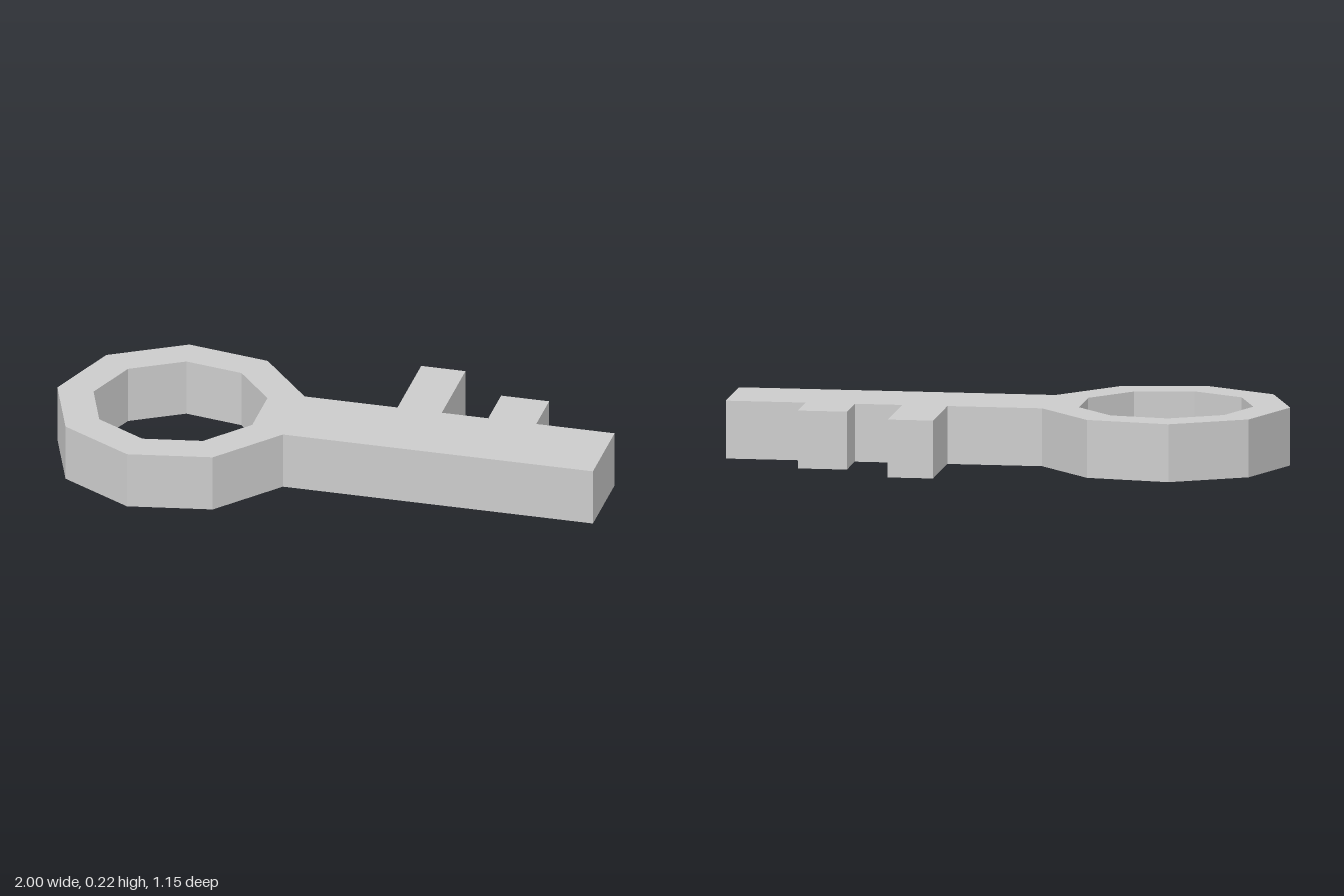
import * as THREE from 'three';

const SIDES = 9;
const OUTER = 0.462, INNER = 0.325;
const HEIGHT = 0.215;
const CENTER = new THREE.Vector2(-0.565, 0.126);
const TILT = -Math.PI / SIDES; // the shaft leaves at right angles to one ring side

// Corners of the nine-sided bow
function ringPoints(radius) {
  return Array.from({ length: SIDES }, (_, i) => {
    const a = (i * 2 * Math.PI) / SIDES;
    return new THREE.Vector2(Math.cos(a), Math.sin(a)).multiplyScalar(radius).add(CENTER);
  });
}

export function createModel() {
  const group = new THREE.Group();
  group.name = 'key';

  const bow = ringPoints(OUTER);
  const width = bow[0].distanceTo(bow[SIDES - 1]);
  const length = 1.175;

  // Shaft and teeth as (along, across), running from the tip back to the bow
  const shaft = [
    [length, -width], [length, 0],
    [0.878, 0], [0.878, 0.188], [0.696, 0.188], [0.696, 0], // short tooth
    [0.52, 0], [0.52, 0.345], [0.352, 0.345], [0.352, 0], // long tooth
  ].map(([u, v]) => new THREE.Vector2(u, v).rotateAround(new THREE.Vector2(), TILT).add(bow[0]));

  // Whole outline with the hole of the bow
  const outline = new THREE.Shape([...bow, ...shaft]);
  outline.holes.push(new THREE.Path(ringPoints(INNER).reverse()));

  // Lay the extrusion flat on the ground
  const geometry = new THREE.ExtrudeGeometry(outline, { depth: HEIGHT, bevelEnabled: false });
  geometry.rotateX(-Math.PI / 2);

  const body = new THREE.Mesh(
    geometry,
    new THREE.MeshStandardMaterial({ color: 0xcccccc, flatShading: true })
  );
  body.name = 'bowShaftAndTeeth';
  group.add(body);
  return group;
}
